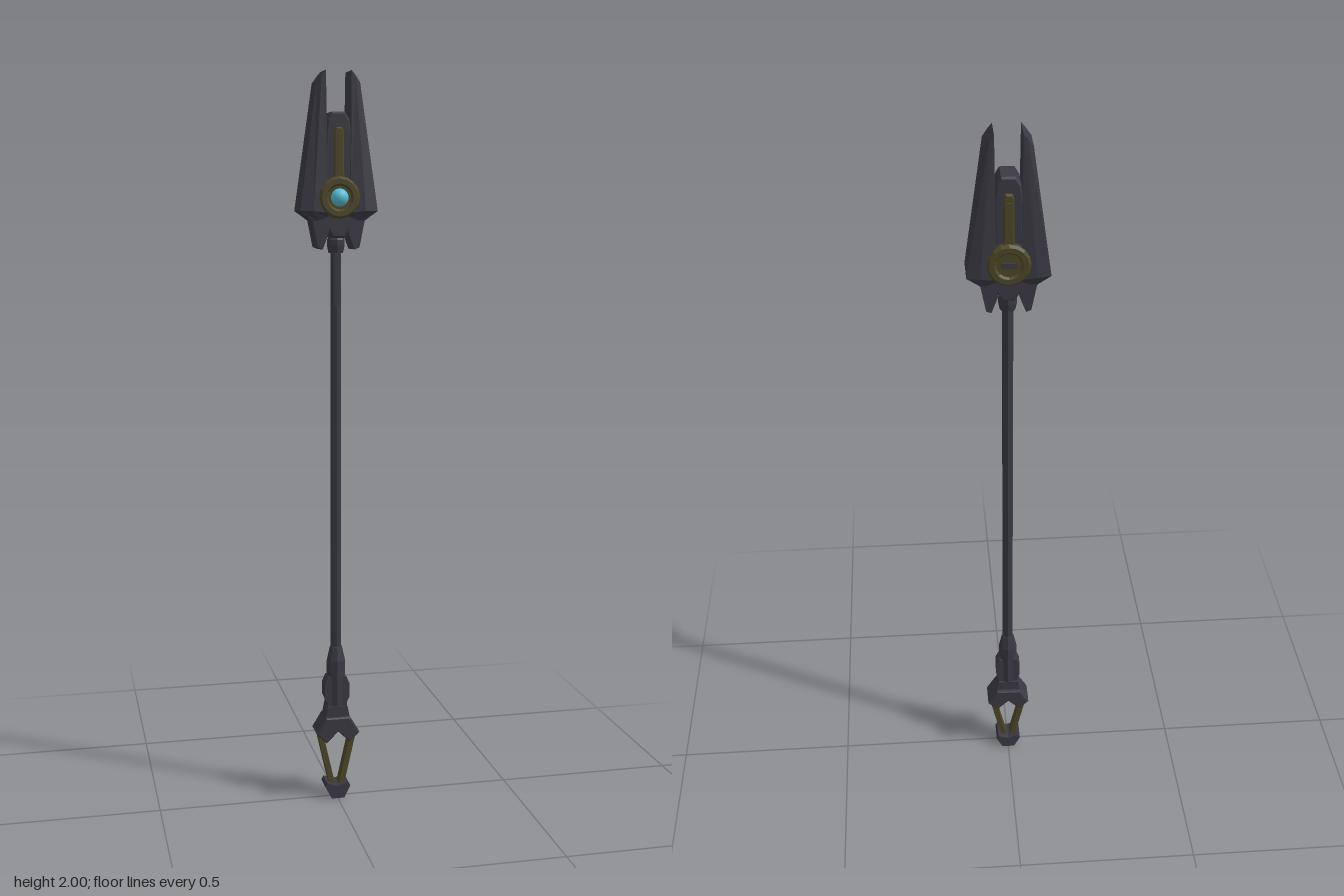
import * as THREE from 'three';

const CZ = -0.007; // depth of the staff's axis

const material = (name, color, flat = true) => {
  const m = new THREE.MeshStandardMaterial({ color, flatShading: flat });
  m.name = name;
  return m;
};

// Solid skinned over matching loops of [x, y, z], counter-clockwise from above
function loft(loops, flip = false) {
  const pos = [];
  const tri = (a, b, c) => pos.push(...a, ...(flip ? c : b), ...(flip ? b : c));
  const n = loops[0].length;
  for (let l = 0; l < loops.length - 1; l++) {
    for (let i = 0; i < n; i++) {
      const j = (i + 1) % n;
      tri(loops[l][i], loops[l][j], loops[l + 1][j]);
      tri(loops[l][i], loops[l + 1][j], loops[l + 1][i]);
    }
  }
  // The end loops are ladders of front/back pairs
  const cap = (p, up) => {
    for (let i = 0; i < n / 2 - 1; i++) {
      const q = [p[i], p[i + 1], p[n - 2 - i], p[n - 1 - i]];
      if (!up) q.reverse();
      tri(q[0], q[1], q[2]);
      tri(q[0], q[2], q[3]);
    }
  };
  cap(loops[0], false);
  cap(loops[loops.length - 1], true);
  const g = new THREE.BufferGeometry();
  g.setAttribute('position', new THREE.Float32BufferAttribute(pos, 3));
  g.computeVertexNormals();
  return g;
}

// Outline in x, y extruded evenly to both sides of the axis
function slab(points, half, bevel = 0) {
  const shape = new THREE.Shape(points.map(([x, y]) => new THREE.Vector2(x, y)));
  const depth = 2 * (half - bevel);
  const g = new THREE.ExtrudeGeometry(shape, {
    depth, bevelEnabled: bevel > 0, bevelSize: bevel, bevelThickness: bevel,
    bevelOffset: -bevel, bevelSegments: 1,
  });
  return g.translate(0, 0, -depth / 2);
}

// Closes a half outline (x >= 0, from bottom to top) with its mirror image
const mirrored = (half) => [
  ...half,
  ...half.filter(([x]) => x > 0).map(([x, y]) => [-x, y]).reverse(),
];

const lathe = (profile, sides) =>
  new THREE.LatheGeometry(profile.map(([r, y]) => new THREE.Vector2(r, y)), sides);

export function createModel() {
  const root = new THREE.Group();
  root.name = 'staff';
  const body = new THREE.Group();
  body.name = 'staffBody';
  body.position.z = CZ;
  root.add(body);

  const dark = material('darkMetal', 0x3b3943);
  const bronze = material('agedBronze', 0x4d4727);
  const glow = material('blueCrystal', 0x55bfd8, false);

  const add = (name, geometry, mat, parent = body) => {
    const mesh = new THREE.Mesh(geometry, mat);
    mesh.name = name;
    parent.add(mesh);
    return mesh;
  };

  // Shaft with the neck below the head and the sleeve above the claw
  add('shaft', lathe([
    [0, 0.24], [0.026, 0.24], [0.026, 0.4], [0.017, 0.44], [0.0145, 0.44],
    [0.0145, 1.53], [0.02, 1.53], [0.024, 1.55], [0.024, 1.565],
    [0.018, 1.575], [0.018, 1.61], [0, 1.61],
  ], 8), dark);
  const grip = add('gripPlate', new THREE.BoxGeometry(0.014, 0.14, 0.006), dark);
  grip.position.set(0, 1.46, 0.015);

  // Twin blades: each level lists [x, y, half depth] for inner, middle, outer
  const bladeLevels = [
    [[0.026, 1.585, 0.038], [0.043, 1.54, 0.038], [0.056, 1.545, 0.038]],
    [[0.03, 1.625, 0.038], [0.055, 1.615, 0.038], [0.07, 1.615, 0.038]],
    [[0.03, 1.635, 0.049], [0.07, 1.64, 0.052], [0.104, 1.64, 0.044]],
    [[0.034, 2.0, 0.038], [0.045, 1.987, 0.038], [0.058, 1.97, 0.032]],
  ];
  for (const s of [1, -1]) {
    const loops = bladeLevels.map((level) => [
      ...level.map(([x, y, z]) => [s * x, y, z]),
      ...level.map(([x, y, z]) => [s * x, y, -z]).reverse(),
    ]);
    add(s > 0 ? 'leftBlade' : 'rightBlade', loft(loops, s < 0), dark);
  }

  // Core between the blades
  add('core', slab(mirrored([
    [0.016, 1.57], [0.034, 1.6], [0.035, 1.84], [0.03, 1.875], [0.018, 1.895],
  ]), 0.036, 0.005), dark);

  // Bronze spine and medallion on the front and on the back
  for (const side of ['front', 'back']) {
    const trim = new THREE.Group();
    trim.name = side + 'Trim';
    trim.rotation.y = side === 'front' ? 0 : Math.PI;
    body.add(trim);

    const spine = slab(mirrored([
      [0.022, 1.69], [0.013, 1.74], [0.013, 1.845], [0.008, 1.855],
    ]), 0.006, 0.003).translate(0, 0, 0.039);
    add('spine', spine, bronze, trim);
    const ridge = add('spineRidge', new THREE.BoxGeometry(0.01, 0.1, 0.006), bronze, trim);
    ridge.position.set(0, 1.785, 0.046);

    const ring = lathe([
      [0.054, 0], [0.055, 0.049], [0.049, 0.056], [0.036, 0.056], [0.031, 0.05], [0, 0.05],
    ], 16).rotateX(Math.PI / 2).translate(0, 1.675, 0);
    add('medallion', ring, bronze, trim);
    if (side === 'back') {
      const boss = add('boss', new THREE.BoxGeometry(0.036, 0.014, 0.008), dark, trim);
      boss.position.set(0, 1.675, 0.051);
    }
  }
  const orb = add('orb', new THREE.SphereGeometry(0.024, 20, 14), glow);
  orb.position.set(0, 1.675, 0.046);

  // Claw base flaring out from the sleeve
  add('sleevePlates', slab(mirrored([
    [0.028, 0.22], [0.028, 0.28], [0.035, 0.295], [0.035, 0.335], [0.026, 0.355],
  ]), 0.02), dark);
  add('clawBase', slab([
    [0, 0.2], [0.033, 0.167], [0.061, 0.195], [0.036, 0.23], [0.028, 0.27],
    [-0.028, 0.27], [-0.036, 0.23], [-0.061, 0.195], [-0.033, 0.167],
  ], 0.026), dark);
  add('clawBlock', slab([
    [0, 0.2], [0.033, 0.167], [0.061, 0.195], [0.034, 0.24],
    [-0.034, 0.24], [-0.061, 0.195], [-0.033, 0.167],
  ], 0.037, 0.003), dark);

  // Slanted struts down to the foot
  for (const s of [1, -1]) {
    const strut = add(s > 0 ? 'leftStrut' : 'rightStrut',
      new THREE.BoxGeometry(0.015, 0.165, 0.032), bronze);
    strut.position.set(s * 0.03, 0.112, 0);
    strut.rotation.z = -s * 0.22;
  }
  add('foot', slab([
    [-0.018, 0], [0.018, 0], [0.036, 0.035], [0.03, 0.046], [0, 0.036],
    [-0.03, 0.046], [-0.036, 0.035],
  ], 0.03), dark);

  return root;
}
